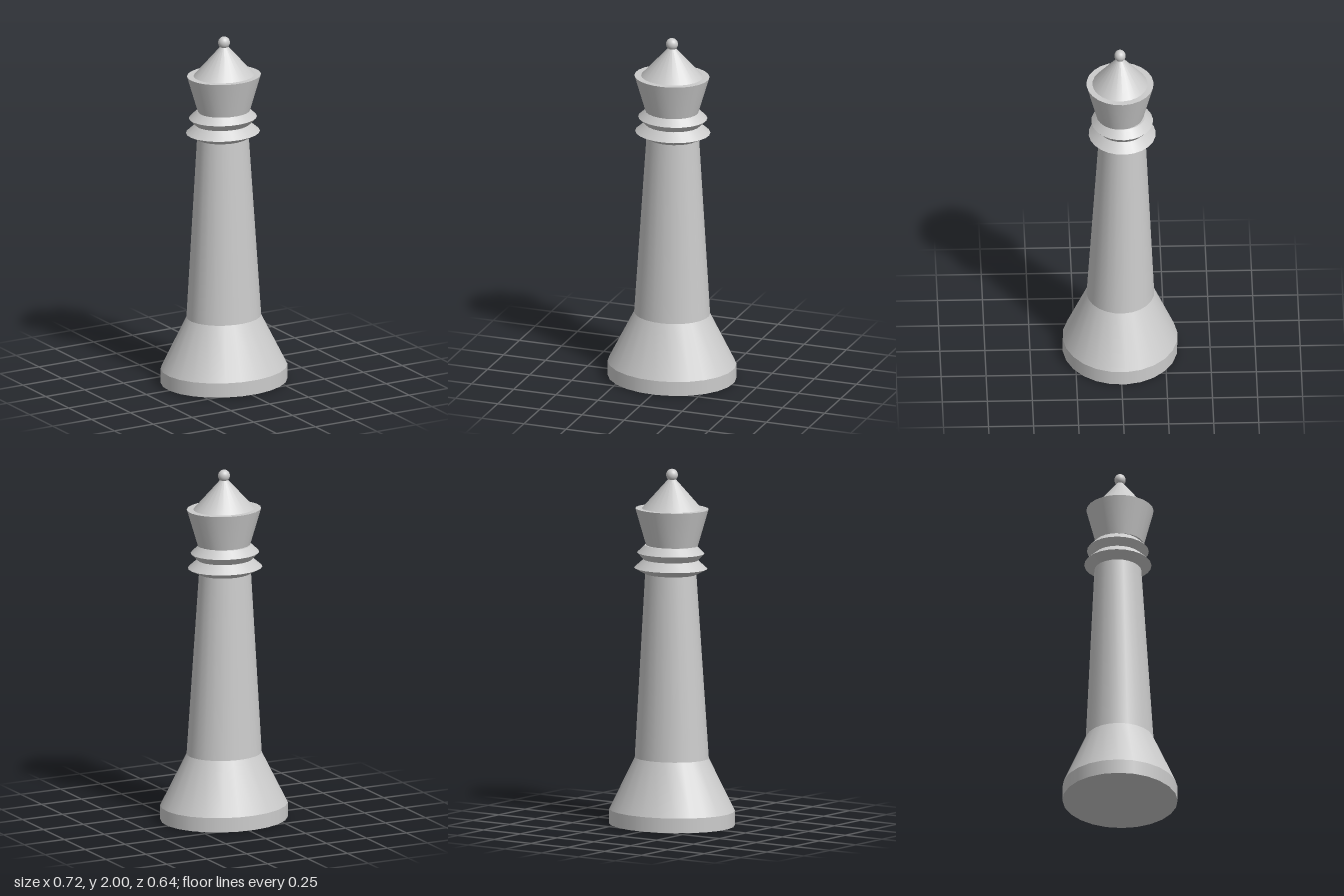
import * as THREE from 'three';
import { mergeGeometries } from 'three/addons/utils/BufferGeometryUtils.js';

const SIDES = 24;
const START = THREE.MathUtils.degToRad(4);
const DEPTH = 0.88; // oval plan: depth relative to width

// Turned part with hard edges between bands; points are [radius, y, z shift]
function turned(name, points, material) {
  const bands = [];
  for (let k = 0; k < points.length - 1; k++) {
    const ends = [points[k], points[k + 1]];
    const band = new THREE.LatheGeometry(
      ends.map(([r, y]) => new THREE.Vector2(r, y)), SIDES, START);
    const pos = band.attributes.position;
    for (let i = 0; i < pos.count; i++) {
      pos.setZ(i, pos.getZ(i) * DEPTH + (ends[i % 2][2] ?? 0));
    }
    const normal = band.attributes.normal;
    const n = new THREE.Vector3();
    for (let i = 0; i < normal.count; i++) {
      n.fromBufferAttribute(normal, i);
      n.z /= DEPTH;
      n.normalize();
      normal.setXYZ(i, n.x, n.y, n.z);
    }
    bands.push(band);
  }
  const mesh = new THREE.Mesh(mergeGeometries(bands), material);
  mesh.name = name;
  return mesh;
}

export function createModel() {
  const group = new THREE.Group();
  group.name = 'chessPiece';
  const material = new THREE.MeshStandardMaterial({ color: 0xcccccc });

  // Foot with a flat underside, a short rim and a sloping skirt
  group.add(turned('base', [
    [0, 0], [0.363, 0.005], [0.363, 0.087], [0.214, 0.38, -0.002],
  ], material));

  // Tall tapering shaft, leaning very slightly back
  group.add(turned('shaft', [
    [0.214, 0.38, -0.002], [0.148, 1.415, -0.012],
  ], material));

  // Two sharp-edged collars
  group.add(turned('lowerCollar', [
    [0.148, 1.412, -0.012], [0.212, 1.445, -0.012], [0.157, 1.492, -0.012],
  ], material));
  group.add(turned('upperCollar', [
    [0.157, 1.492, -0.012], [0.195, 1.53, -0.012], [0.15, 1.572, -0.012],
    [0, 1.572, -0.012],
  ], material));

  // Flared head with a flat rim, then a conical cap
  group.add(turned('crown', [
    [0, 1.571], [0.15, 1.571], [0.212, 1.777], [0.174, 1.777],
  ], material));
  group.add(turned('cap', [[0.174, 1.777], [0, 1.966]], material));

  // Ball on top
  const ball = new THREE.Mesh(new THREE.SphereGeometry(0.034, 24, 16), material);
  ball.name = 'finial';
  ball.scale.set(1, 1, 0.92);
  ball.position.y = 1.966;
  group.add(ball);

  return group;
}
